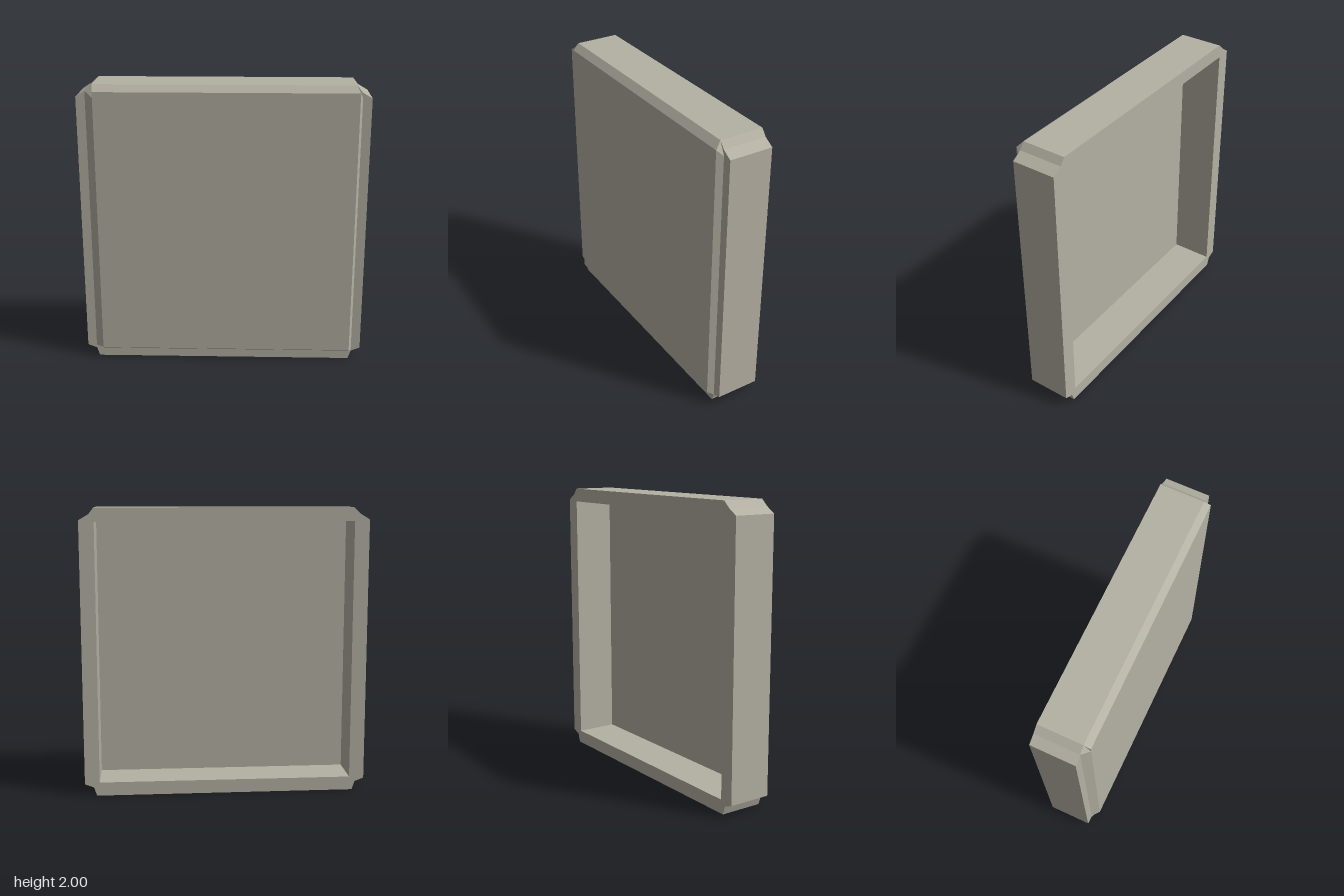
import * as THREE from 'three';

const BACK = -0.173, LEDGE = 0.13, FRONT = 0.173, FLOOR = 0.12;
const v2 = (pts) => pts.map(([x, y]) => new THREE.Vector2(x, y));

// Flat slab between two depths, optionally with a hole
function slab(outline, z0, z1, hole) {
  const shape = new THREE.Shape(v2(outline));
  if (hole) shape.holes.push(new THREE.Path(v2(hole)));
  const geo = new THREE.ExtrudeGeometry(shape, { depth: z1 - z0, bevelEnabled: false });
  return geo.translate(0, 0, z0);
}

// Bevelled cap: a base ring joined to a smaller front ring, closed at the front
function bevelCap(base, front) {
  const pos = [];
  const n = base.length;
  const a = base.map(([x, y]) => [x, y, LEDGE]);
  const b = front.map(([x, y]) => [x, y, FRONT]);
  for (let i = 0; i < n; i++) {
    const j = (i + 1) % n;
    pos.push(...a[i], ...a[j], ...b[j], ...a[i], ...b[j], ...b[i]);
    if (i > 0 && i < n - 1) pos.push(...b[0], ...b[i], ...b[i + 1]);
  }
  const geo = new THREE.BufferGeometry();
  geo.setAttribute('position', new THREE.Float32BufferAttribute(pos, 3));
  geo.computeVertexNormals();
  return geo;
}

export function createModel() {
  const group = new THREE.Group();
  const stone = new THREE.MeshStandardMaterial({ color: 0xb4b0a3, flatShading: true });
  stone.name = 'warmGrey';
  const add = (name, geo) => {
    const mesh = new THREE.Mesh(geo, stone);
    mesh.name = name;
    group.add(mesh);
  };

  // Silhouette with notched corners, and the square recess open at the back
  const outline = [
    [-0.905, 0], [0.905, 0], [0.925, 0.06], [0.988, 0.085],
    [0.988, 1.915], [0.92, 1.955], [0.885, 2], [-0.875, 2],
    [-0.925, 1.955], [-0.988, 1.915], [-0.988, 0.085], [-0.925, 0.06],
  ];
  const recess = [[-0.885, 0.095], [-0.885, 1.905], [0.885, 1.905], [0.885, 0.095]];
  add('frame', slab(outline, BACK, LEDGE, recess));

  // Inner face of the recess
  const floor = new THREE.PlaneGeometry(1.77, 1.81).rotateY(Math.PI);
  add('recessFloor', floor.translate(0, 1, FLOOR));

  // Raised front panel with uneven bevels
  add('frontPanel', bevelCap(
    [[0.925, 0.06], [0.925, 1.915], [0.885, 2], [-0.875, 2], [-0.925, 1.955], [-0.925, 0.085], [-0.87, 0.06]],
    [[0.905, 0.085], [0.905, 1.915], [0.905, 1.955], [-0.87, 1.955], [-0.87, 1.915], [-0.87, 0.085], [-0.87, 0.085]],
  ));
  return group;
}
